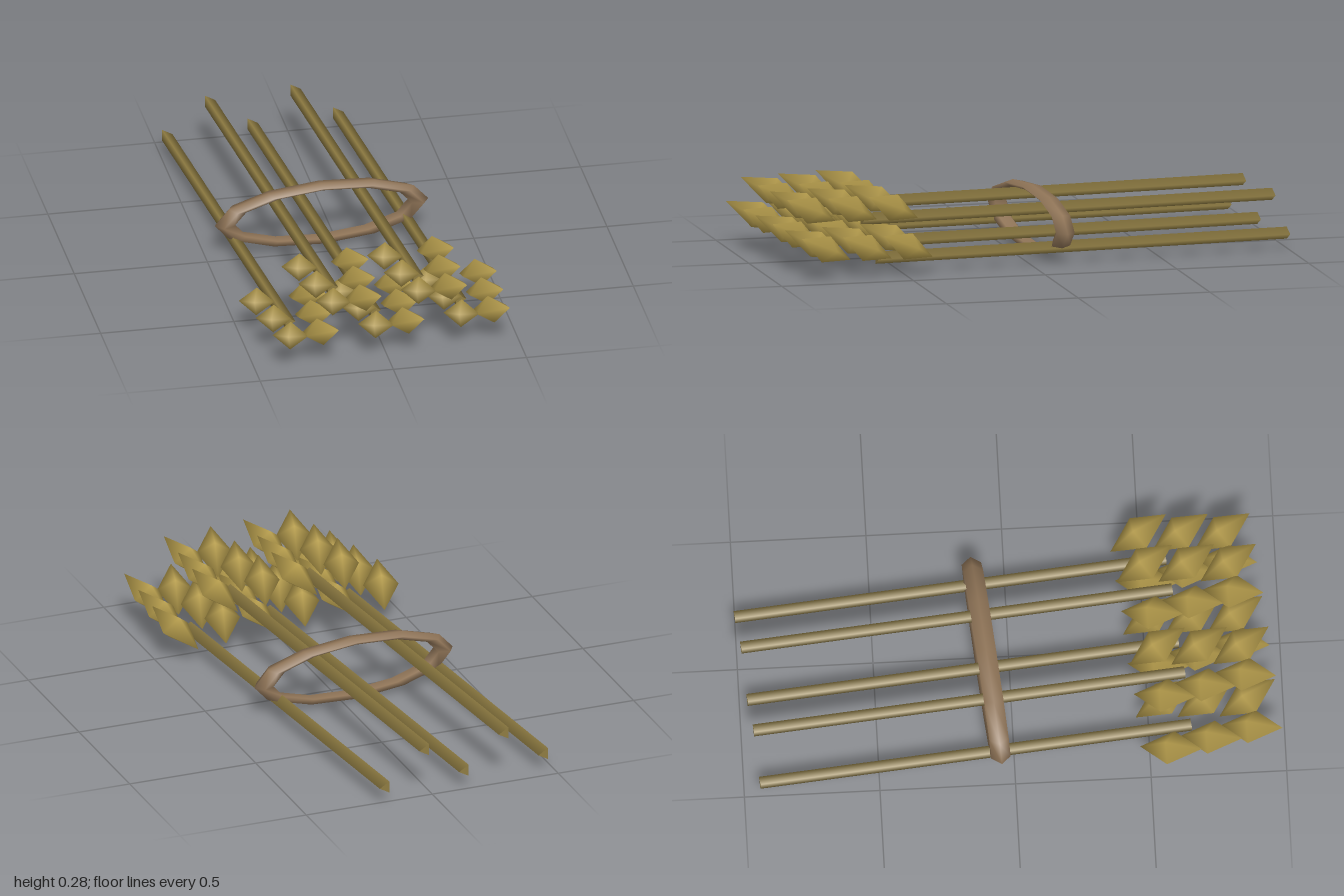
import * as THREE from 'three';

const straw = new THREE.MeshStandardMaterial({ color: 0x8f7c42 });
straw.name = 'straw';
const grainGold = new THREE.MeshStandardMaterial({ color: 0xb59c4c });
grainGold.name = 'grain gold';
const twine = new THREE.MeshStandardMaterial({ color: 0x8f7457 });
twine.name = 'twine brown';

const STALK_LENGTH = 1.605;
const TIP_Z = 0.625;

// Three-sided stalk lying along z, one edge facing +x
const stalkGeometry = new THREE.CylinderGeometry(0.026, 0.026, STALK_LENGTH, 3)
  .rotateY(Math.PI / 2)
  .rotateX(Math.PI / 2)
  .translate(0, 0, TIP_Z - STALK_LENGTH / 2);

// Four-sided pointed kernel, long axis along z
const grainGeometry = new THREE.SphereGeometry(1, 4, 2)
  .rotateX(Math.PI / 2)
  .scale(0.066, 0.051, 0.127);

function part(name, geometry, material) {
  const mesh = new THREE.Mesh(geometry, material);
  mesh.name = name;
  return mesh;
}

// One stalk with two converging rows of three grains at its front end
function createStalk() {
  const group = new THREE.Group();
  group.name = 'wheatStalk';
  group.add(part('stem', stalkGeometry, straw));
  for (const side of [-1, 1]) {
    for (let i = 0; i < 3; i++) {
      const grain = part('grain', grainGeometry, grainGold);
      grain.position.set(side * (0.097 - 0.02 * i), 0.056, TIP_Z - 0.09 + 0.153 * i);
      // grains lean outward and upward towards the front
      grain.rotation.set(-0.42, side * 0.35, 0, 'YXZ');
      group.add(grain);
    }
  }
  return group;
}

export function createModel() {
  const model = new THREE.Group();
  model.name = 'wheatBundle';

  // Five stalks, alternating between the lower and upper layer
  for (let i = 0; i < 5; i++) {
    const stalk = createStalk();
    stalk.position.set(-0.383 + 0.164 * i, i % 2 ? 0.18 : 0.0625, 0);
    model.add(stalk);
  }

  // Flattened loop tying the bundle
  const tie = part('tieBand', new THREE.TorusGeometry(0.372, 0.038, 5, 12), twine);
  tie.scale.set(1, 0.293, 1);
  tie.position.set(-0.047, 0.125, -0.09);
  model.add(tie);

  // The whole bundle lies slightly turned
  model.rotation.y = THREE.MathUtils.degToRad(5.2);
  const root = new THREE.Group();
  root.name = 'bundle';
  root.add(model);
  return root;
}
